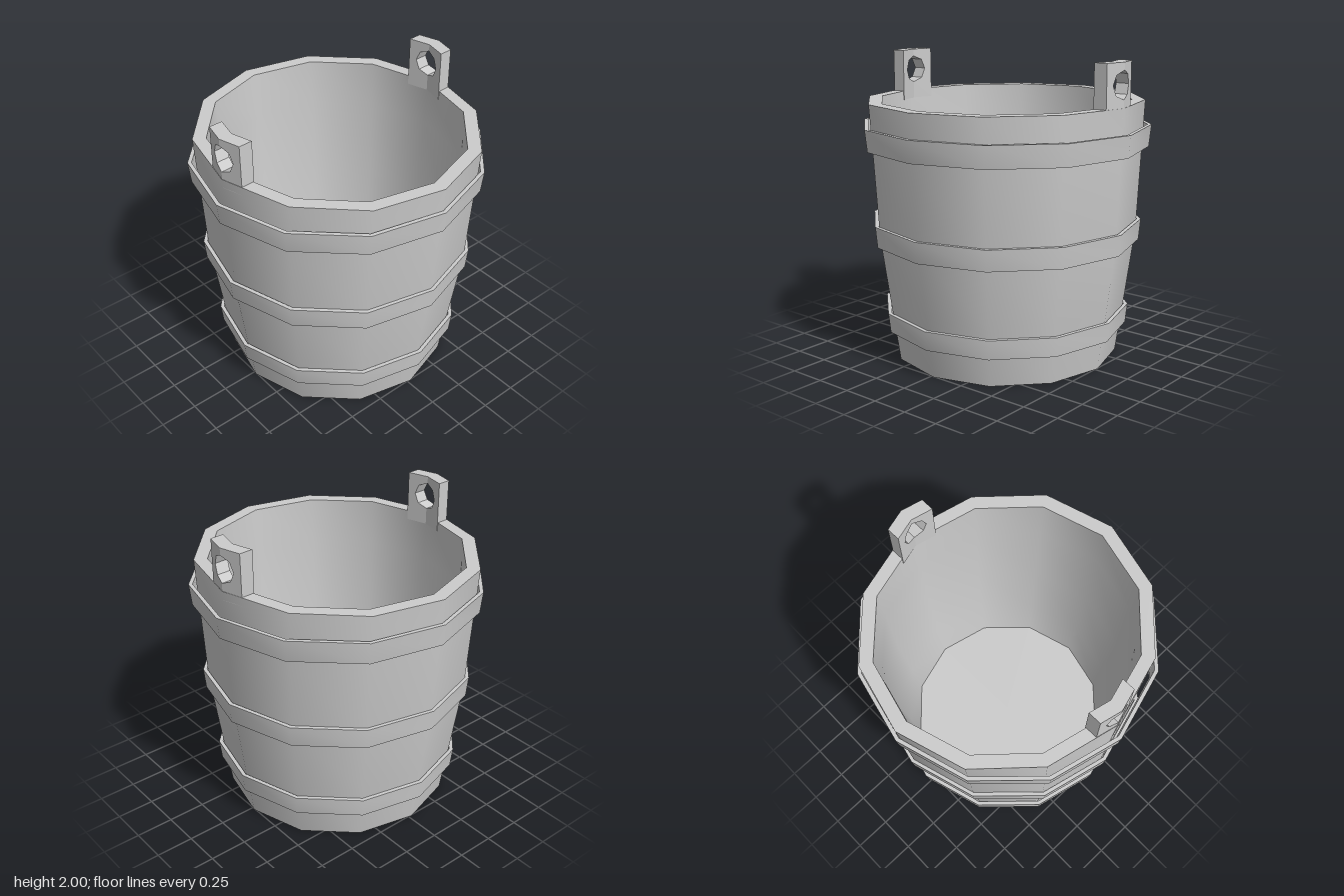
import * as THREE from 'three';
import { toCreasedNormals } from 'three/addons/utils/BufferGeometryUtils.js';

const SIDES = 12;
const material = new THREE.MeshStandardMaterial({ color: 0xcccccc });

// Twelve-sided turned part from [radius, height] pairs, smooth around, sharp at the rims
function turned(name, profile, reshape) {
  const geometry = new THREE.LatheGeometry(profile.map(([r, y]) => new THREE.Vector2(r, y)), SIDES);
  if (reshape) reshape(geometry.attributes.position);
  const mesh = new THREE.Mesh(toCreasedNormals(geometry, 0.75), material);
  mesh.name = name;
  return mesh;
}

// The round base becomes slightly oval towards the rim
function ovalise(position) {
  for (let i = 0; i < position.count; i++) {
    const t = position.getY(i) / 1.72;
    position.setZ(i, position.getZ(i) * (1 - 0.038 * t * t));
  }
}

// One half of a handle lug: a plate with half of the octagonal hole, sheared along the wall
function lugHalf(side) {
  const halfWidth = 0.142, bottom = 1.66, top = 2, holeY = 1.862, holeR = 0.09, depth = 0.09;
  const points = [[0, bottom], [halfWidth, bottom], [halfWidth, top], [0, top]];
  for (let i = 0; i <= 4; i++) {
    const a = Math.PI / 2 - (i * Math.PI) / 4;
    points.push([holeR * Math.cos(a), holeY + holeR * Math.sin(a)]);
  }
  const shape = new THREE.Shape(points.map(([x, y]) => new THREE.Vector2(x * side, y)));
  const geometry = new THREE.ExtrudeGeometry(shape, { depth, bevelEnabled: false });
  const p = geometry.attributes.position;
  for (let i = 0; i < p.count; i++) {
    p.setZ(i, p.getZ(i) + 0.904 - depth - Math.abs(p.getX(i)) * 0.26);
  }
  geometry.computeVertexNormals();
  const mesh = new THREE.Mesh(geometry, material);
  mesh.name = side > 0 ? 'lugLeftHalf' : 'lugRightHalf';
  return mesh;
}

export function createModel() {
  const bucket = new THREE.Group();
  bucket.name = 'bucket';

  // Hollow body: underside, outer wall, rim, inner wall and floor
  bucket.add(turned('body', [
    [0, 0], [0.757, 0], [0.815, 0.4], [0.88, 0.85], [0.918, 1.41], [0.942, 1.72],
    [0.852, 1.72], [0.828, 1.41], [0.79, 0.85], [0.725, 0.4], [0.68, 0.07], [0, 0.07],
  ], ovalise));

  // Three hoops: [bottom, bottom radius, top, top radius]
  const hoops = [
    ['lowerHoop', 0.2, 0.822, 0.33, 0.836],
    ['middleHoop', 0.785, 0.895, 0.925, 0.908],
    ['upperHoop', 1.415, 0.945, 1.56, 0.96],
  ];
  const thick = 0.026;
  for (const [name, y0, r0, y1, r1] of hoops) {
    bucket.add(turned(name, [[r0 - thick, y0], [r0, y0], [r1, y1], [r1 - thick, y1], [r0 - thick, y0]]));
  }

  // Handle lugs at front and back
  for (const [name, turn] of [['frontLug', 0], ['backLug', Math.PI]]) {
    const lug = new THREE.Group();
    lug.name = name;
    lug.add(lugHalf(1), lugHalf(-1));
    lug.rotation.y = turn;
    bucket.add(lug);
  }

  // The whole bucket sits turned by a small angle
  bucket.rotation.y = 0.03;
  const model = new THREE.Group();
  model.add(bucket);
  return model;
}
